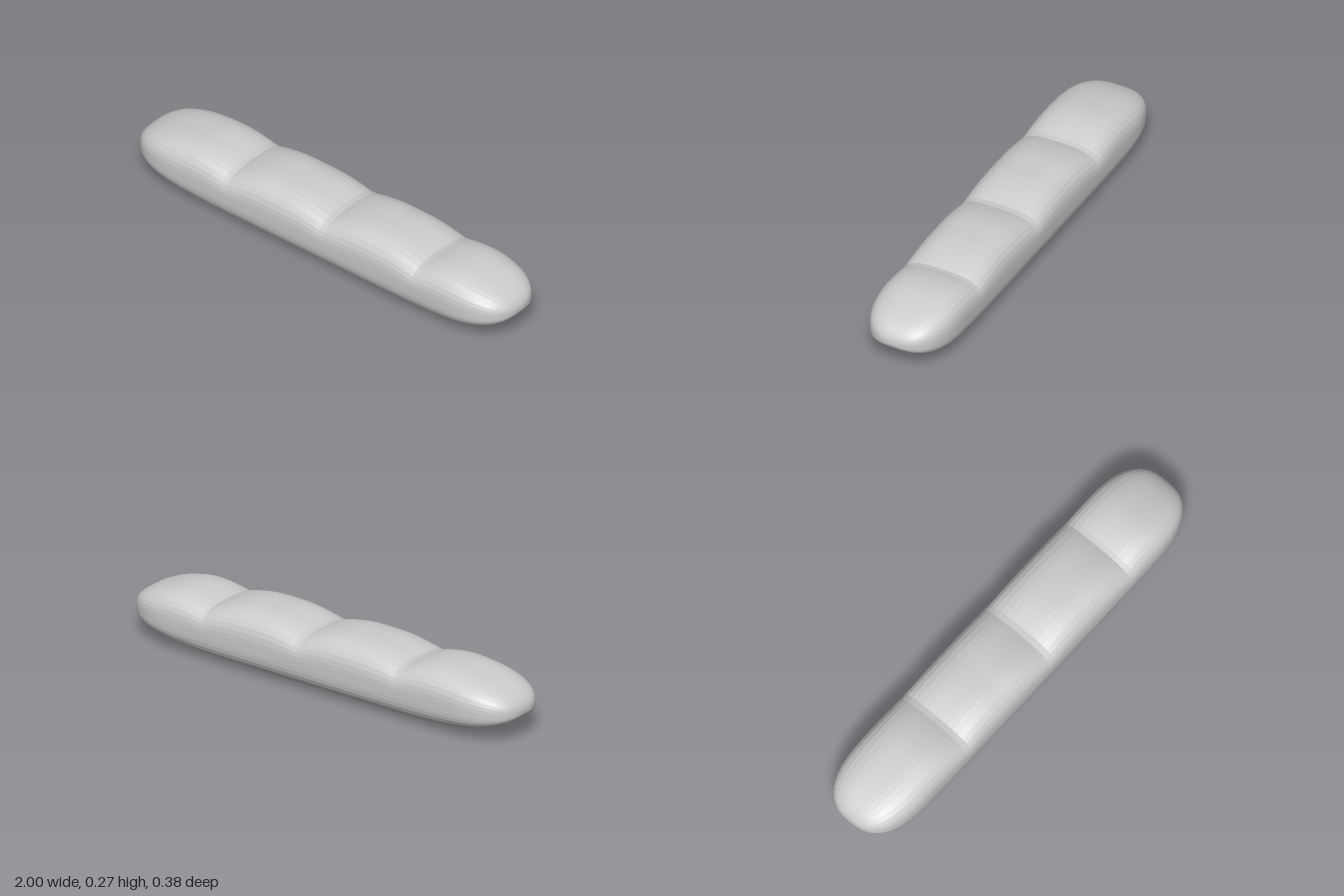
import * as THREE from 'three';

const MID = 0.125;                    // height of the widest line
const GROOVES = [-0.45, 0.07, 0.57];  // scored cuts across the crust

// 1 along the middle, curving to 0 at the tips
function taper(x, start, power) {
  const t = Math.min(1, Math.max(0, (Math.abs(x) - start) / (1 - start)));
  return Math.pow(1 - Math.pow(t, power), 1 / power);
}

function topHeight(x) {
  let h = 0.147 * taper(x, 0.5, 2.2);
  for (const g of GROOVES) {
    h -= 0.042 * Math.pow(Math.max(0, 1 - Math.abs(x - g) / 0.22), 2);
  }
  return h;
}

// Loft rounded-box sections along x
function loafGeometry(rings = 110, sides = 44) {
  const positions = [], index = [];
  for (let i = 0; i <= rings; i++) {
    const x = -Math.cos(Math.PI * i / rings);
    const width = 0.19 * taper(x, 0.7, 2.6);
    const up = topHeight(x);
    const down = MID * taper(x, 0.45, 2);
    for (let j = 0; j < sides; j++) {
      const a = 2 * Math.PI * j / sides;
      const c = Math.cos(a), s = Math.sin(a);
      const r = Math.pow(Math.abs(c) ** 3 + Math.abs(s) ** 3, -1 / 3);
      positions.push(x, MID + r * s * (s > 0 ? up : down), r * c * width);
    }
  }
  for (let i = 0; i < rings; i++) {
    for (let j = 0; j < sides; j++) {
      const k = (j + 1) % sides;
      const a = i * sides + j, b = a + sides;
      const d = i * sides + k, c = d + sides;
      // The tip rings collapse to a point, so keep one triangle there
      if (i < rings - 1) index.push(a, b, c);
      if (i > 0) index.push(a, c, d);
    }
  }
  const geometry = new THREE.BufferGeometry();
  geometry.setAttribute('position', new THREE.Float32BufferAttribute(positions, 3));
  geometry.setIndex(index);
  geometry.computeVertexNormals();
  return geometry;
}

export function createModel() {
  const group = new THREE.Group();
  group.name = 'breadLoaf';
  const loaf = new THREE.Mesh(
    loafGeometry(),
    new THREE.MeshStandardMaterial({ color: 0xcccccc, flatShading: true })
  );
  loaf.name = 'loaf';
  group.add(loaf);
  return group;
}
